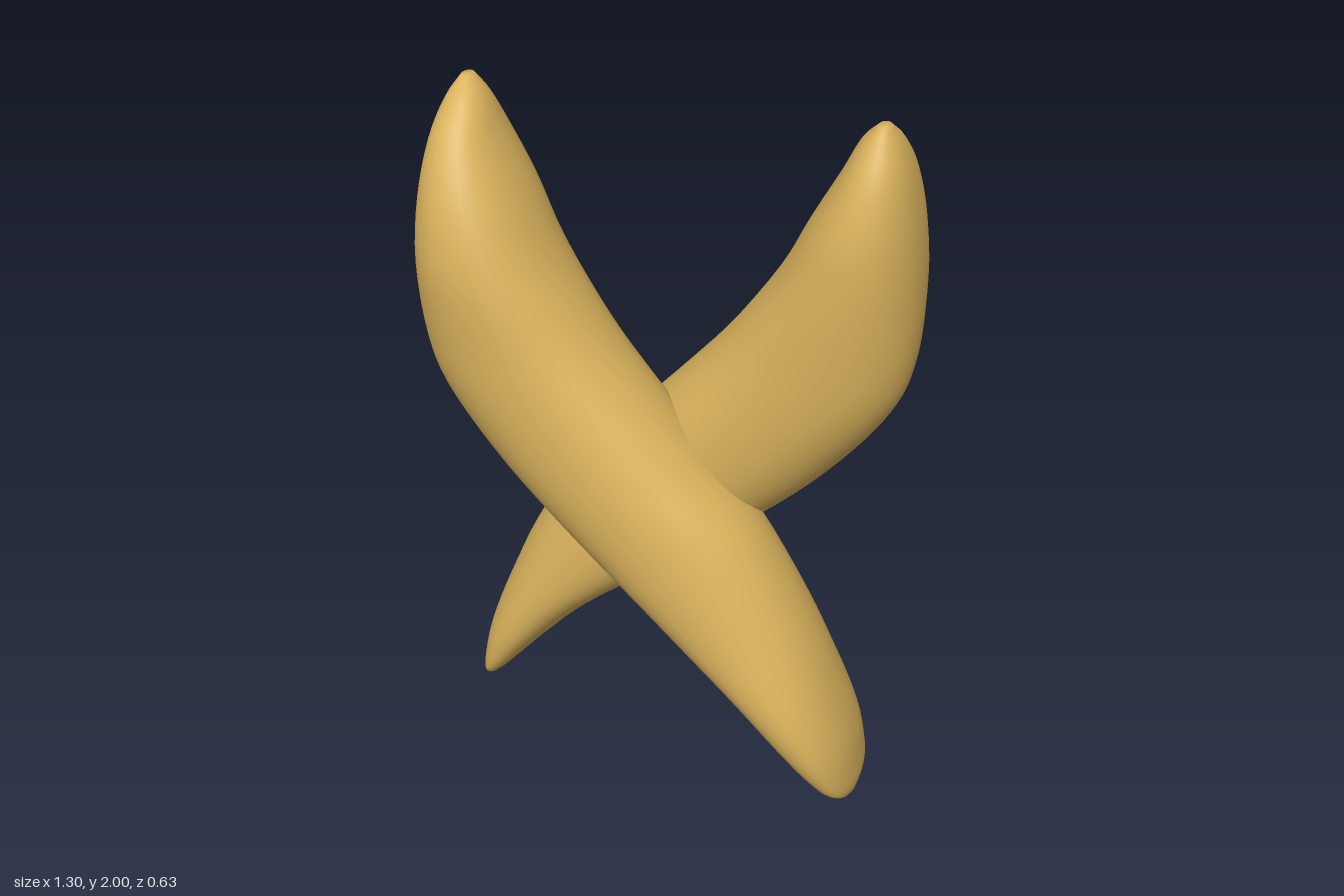
import * as THREE from 'three';

// Level sections of one blade: [y, xMin, xMax, zMin, zMax]
const SECTIONS = [
  [0, 0.585, 0.61, 0.03, 0.11],
  [0.04, 0.555, 0.618, -0.045, 0.18],
  [0.1, 0.5, 0.615, -0.08, 0.235],
  [0.22, 0.395, 0.595, -0.1, 0.285],
  [0.38, 0.24, 0.54, -0.107, 0.312],
  [0.6, -0.03, 0.445, -0.11, 0.312],
  [0.85, -0.315, 0.3, -0.11, 0.312],
  [1.02, -0.475, 0.15, -0.11, 0.312],
  [1.2, -0.6, -0.01, -0.11, 0.312],
  [1.35, -0.642, -0.135, -0.11, 0.312],
  [1.55, -0.648, -0.27, -0.11, 0.312],
  [1.72, -0.635, -0.355, -0.1, 0.275],
  [1.86, -0.61, -0.43, -0.065, 0.205],
  [1.95, -0.58, -0.475, -0.02, 0.125],
  [2.0, -0.55, -0.52, 0.01, 0.055],
];

// Smooth closed skin through rounded sections
function bladeGeometry(rows = 56, sides = 40) {
  const curve = (a, b) => new THREE.CatmullRomCurve3(
    SECTIONS.map((s) => new THREE.Vector3(s[a], s[0], s[b])), false, 'catmullrom', 0.5);
  const xs = curve(1, 2), zs = curve(3, 4);
  const pos = [], index = [];
  const round = (v) => Math.sign(v) * Math.abs(v) ** 0.92;
  for (let i = 0; i <= rows; i++) {
    const px = xs.getPoint(i / rows), pz = zs.getPoint(i / rows);
    for (let j = 0; j < sides; j++) {
      const a = (j / sides) * Math.PI * 2;
      pos.push(
        (px.x + px.z) / 2 + (px.z - px.x) / 2 * round(Math.cos(a)),
        px.y,
        (pz.x + pz.z) / 2 + (pz.z - pz.x) / 2 * round(Math.sin(a)));
      if (i < rows) {
        const k = (j + 1) % sides, p = i * sides, q = p + sides;
        index.push(p + j, q + j, p + k, p + k, q + j, q + k);
      }
    }
  }
  // Close both tips
  const top = rows * sides, bottomCentre = pos.length / 3;
  pos.push(0.5975, 0, 0.07, -0.535, 2, 0.0325);
  for (let j = 0; j < sides; j++) {
    const k = (j + 1) % sides;
    index.push(bottomCentre, j, k, bottomCentre + 1, top + k, top + j);
  }
  const g = new THREE.BufferGeometry();
  g.setAttribute('position', new THREE.Float32BufferAttribute(pos, 3));
  g.setIndex(index);
  g.computeVertexNormals();
  return g;
}

export function createModel() {
  const group = new THREE.Group();
  group.name = 'crossedBlades';
  const gold = new THREE.MeshStandardMaterial({ color: 0xd9b25c });
  gold.name = 'warm gold';
  const geometry = bladeGeometry();

  // Two equal blades, the second turned half way round
  ['frontBlade', 'backBlade'].forEach((name, i) => {
    const blade = new THREE.Mesh(geometry, gold);
    blade.name = name;
    blade.rotation.y = i * Math.PI;
    group.add(blade);
  });
  return group;
}
